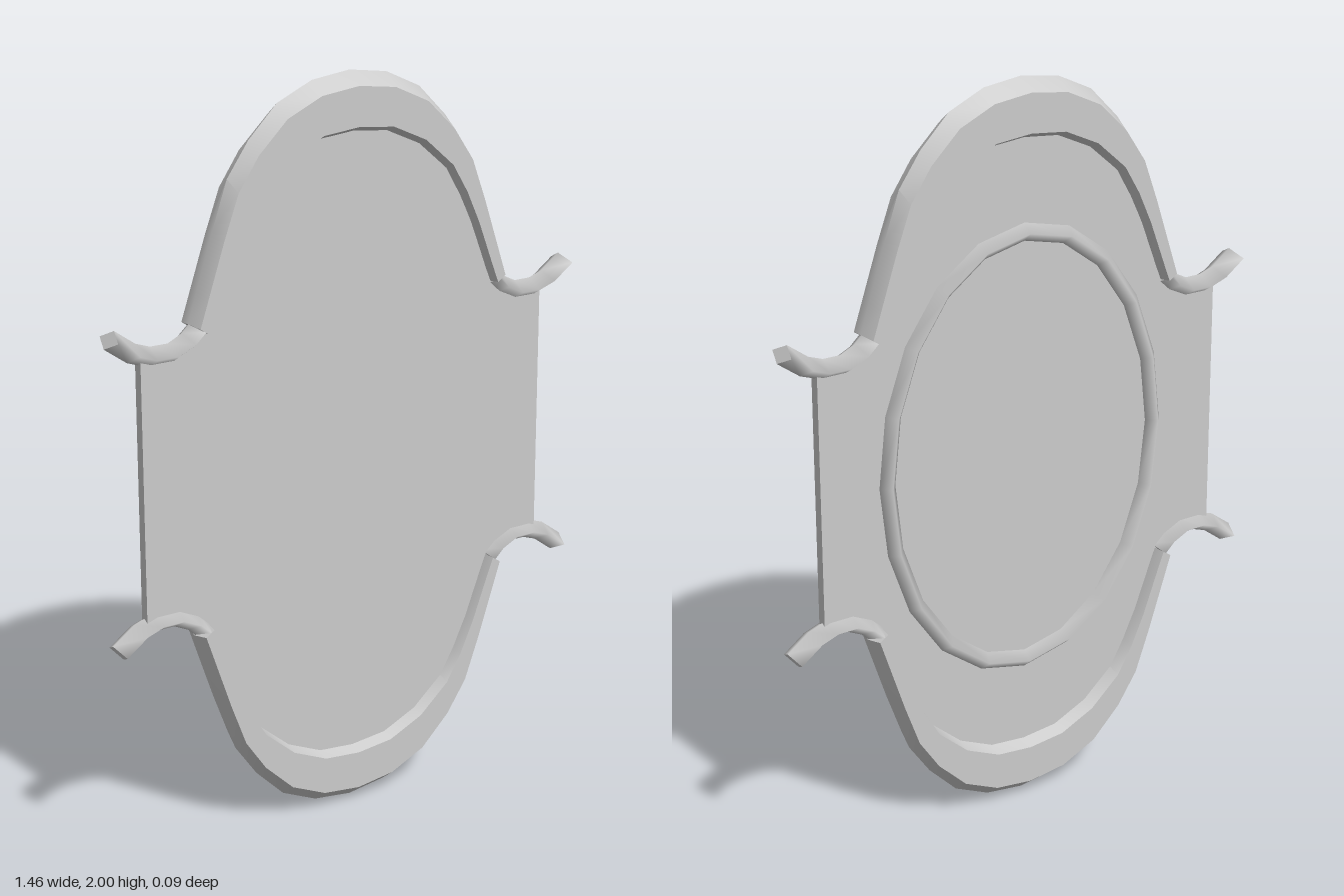
import * as THREE from 'three';
import { toCreasedNormals } from 'three/addons/utils/BufferGeometryUtils.js';

const material = new THREE.MeshStandardMaterial({ color: 0xcccccc });

// Half profile of the crest, from its side end to its crown (y measured from the panel centre)
const OUTER = [[0.49, 0.415], [0.465, 0.49], [0.415, 0.64], [0.37, 0.765], [0.305, 0.855], [0.22, 0.938], [0.115, 0.985], [0, 1]];
const INNER = [[0.452, 0.39], [0.435, 0.43], [0.385, 0.555], [0.345, 0.635], [0.3, 0.71], [0.21, 0.785], [0.107, 0.83], [0, 0.84]];
const HORN = [[0.465, 0.4], [0.495, 0.373], [0.545, 0.35], [0.605, 0.35], [0.655, 0.367], [0.716, 0.41]];
const DEPTH = 0.045;

// Complete a half profile with its mirror image
const mirrored = (half) => [...half, ...half.slice(0, -1).reverse().map(([x, y]) => [-x, y])];
const mix = (a, b, t) => [a[0] + (b[0] - a[0]) * t, a[1] + (b[1] - a[1]) * t];

// Skin a list of equal cross-sections, with end caps unless it loops
function loft(rings, loop = false) {
  const n = rings[0].length, m = rings.length, index = [];
  const positions = rings.flat(2);
  for (let i = 0; i < (loop ? m : m - 1); i++) {
    for (let j = 0; j < n; j++) {
      const k = (j + 1) % n, next = ((i + 1) % m) * n;
      const a = i * n + j, b = i * n + k, c = next + j, d = next + k;
      index.push(a, b, d, a, d, c);
    }
  }
  if (!loop) {
    for (const [r, flip] of [[0, true], [m - 1, false]]) {
      const start = positions.length / 3;
      positions.push(...rings[r].flat());
      for (let j = 1; j < n - 1; j++) {
        index.push(start, start + (flip ? j + 1 : j), start + (flip ? j : j + 1));
      }
    }
  }
  const geometry = new THREE.BufferGeometry();
  geometry.setAttribute('position', new THREE.Float32BufferAttribute(positions, 3));
  geometry.setIndex(index);
  geometry.computeVertexNormals();
  return geometry;
}

// Sweep a diamond section along a flat path
function diamondTube(path, halfWidth, halfDepth, loop = false) {
  const m = path.length;
  const rings = path.map(([x, y], i) => {
    const p = loop ? path[(i + m - 1) % m] : path[Math.max(i - 1, 0)];
    const q = loop ? path[(i + 1) % m] : path[Math.min(i + 1, m - 1)];
    const length = Math.hypot(q[0] - p[0], q[1] - p[1]);
    const nx = -(q[1] - p[1]) / length * halfWidth, ny = (q[0] - p[0]) / length * halfWidth;
    return [[x + nx, y + ny, 0], [x, y, halfDepth], [x - nx, y - ny, 0], [x, y, -halfDepth]];
  });
  return loft(rings, loop);
}

function part(name, geometry) {
  const mesh = new THREE.Mesh(geometry, material);
  mesh.name = name;
  return mesh;
}

// Crest band with bevelled rims and a pair of curled horns
function createHalf(name) {
  const half = new THREE.Group();
  half.name = name;
  const inner = mirrored(INNER);
  const rings = mirrored(OUTER).map((o, i) => {
    const a = mix(o, inner[i], 0.22), b = mix(o, inner[i], 0.87);
    return [[...o, 0], [...a, -DEPTH], [...b, -DEPTH], [...inner[i], 0], [...b, DEPTH], [...a, DEPTH]];
  });
  half.add(part('crest', toCreasedNormals(loft(rings), 0.6)));
  const hornGeometry = diamondTube(HORN, 0.026, DEPTH);
  const leftHorn = part('leftHorn', hornGeometry);
  const rightHorn = part('rightHorn', hornGeometry);
  rightHorn.rotation.y = Math.PI;
  half.add(leftHorn, rightHorn);
  return half;
}

// Thin panel whose outline runs underneath the crests and horns
function createPanel() {
  const rim = OUTER.map((o, i) => mix(o, INNER[i], 0.5));
  const top = mirrored([[0.632, 0.355], [0.605, 0.35], [0.545, 0.35], [0.495, 0.373], ...rim]);
  const outline = [...top, ...top.map(([x, y]) => [-x, -y])];
  const shape = new THREE.Shape(outline.map(([x, y]) => new THREE.Vector2(x - 0.006, y)));
  const geometry = new THREE.ExtrudeGeometry(shape, { depth: 0.026, bevelEnabled: false });
  geometry.translate(0, 0, -0.011);
  return part('panel', geometry);
}

export function createModel() {
  const model = new THREE.Group();
  model.name = 'crestedPlaque';
  const body = new THREE.Group();
  body.name = 'body';
  body.position.y = 1;
  model.add(body);

  const upper = createHalf('upperFrame');
  const lower = createHalf('lowerFrame');
  lower.rotation.z = Math.PI;
  body.add(createPanel(), upper, lower);

  // Oval ridge on the back of the panel
  const oval = Array.from({ length: 20 }, (_, i) => {
    const angle = (i / 20) * Math.PI * 2;
    return [0.43 * Math.cos(angle), 0.6 * Math.sin(angle)];
  });
  const ridge = part('backRing', diamondTube(oval, 0.024, 0.028, true));
  ridge.position.z = -0.014;
  body.add(ridge);
  return model;
}
